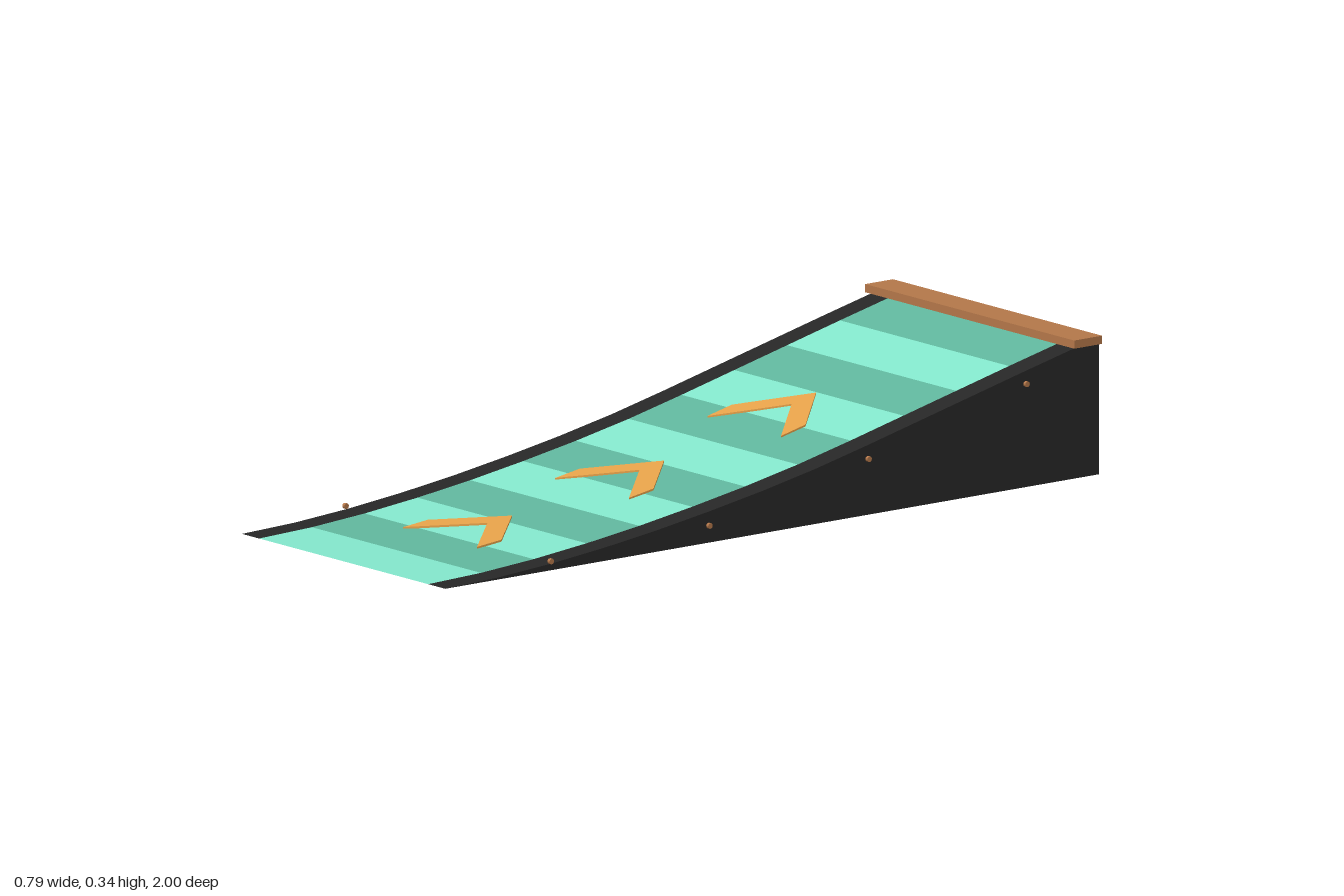
import * as THREE from 'three';

const mat = (name, color, side = THREE.FrontSide) => {
  const m = new THREE.MeshStandardMaterial({ color, side });
  m.name = name;
  return m;
};

// Ramp heights at equal steps from the front lip to the coping
const HEIGHTS = [0, 0.005, 0.016, 0.032, 0.052, 0.076, 0.103, 0.134, 0.17, 0.208, 0.246, 0.284, 0.321];
const STEP = 0.1615;
const TOP = 0.321;
const DECK_X = 0.321;
const SIDE_X = 0.386;

const zAt = (i) => 1 - i * STEP;
const heightAt = (z) => {
  const t = THREE.MathUtils.clamp((1 - z) / STEP, 0, 12);
  const i = Math.min(Math.floor(t), 11);
  return THREE.MathUtils.lerp(HEIGHTS[i], HEIGHTS[i + 1], t - i);
};

export function createModel() {
  const black = mat('charcoal', 0x272727);
  const mint = mat('light mint', 0x84e8cd, THREE.DoubleSide);
  const teal = mat('dark mint', 0x60b69d, THREE.DoubleSide);
  const wood = mat('brown wood', 0xb5784a);
  const amber = mat('amber', 0xe8a34a);
  const grey = mat('light grey', 0xe4e4e4);

  const group = new THREE.Group();
  group.name = 'ramp';
  const add = (name, geometry, material, x = 0, y = 0, z = 0) => {
    const mesh = new THREE.Mesh(geometry, material);
    mesh.name = name;
    mesh.position.set(x, y, z);
    group.add(mesh);
  };

  // Curved side walls, profile drawn with u = -z
  const profile = new THREE.Shape();
  profile.moveTo(-1, 0);
  profile.lineTo(1, 0);
  profile.lineTo(1, TOP);
  for (let i = 12; i > 0; i--) profile.lineTo(-zAt(i), HEIGHTS[i]);
  const wall = new THREE.ExtrudeGeometry(profile, { depth: SIDE_X - DECK_X, bevelEnabled: false });
  wall.rotateY(Math.PI / 2);
  add('leftWall', wall, black, DECK_X);
  add('rightWall', wall, black, -SIDE_X);

  // Back wall and coping board
  const backDepth = 1 + zAt(12);
  add('backWall', new THREE.BoxGeometry(DECK_X * 2, TOP, backDepth), black, 0, TOP / 2, -1 + backDepth / 2);
  add('coping', new THREE.BoxGeometry(0.794, 0.02, 0.085), wood, 0, 0.33, -0.9575);

  // Striped riding surface, one tilted plate per stripe, over a banded underside
  const panel = new THREE.PlaneGeometry(DECK_X * 2, STEP).rotateX(Math.PI / 2);
  for (let i = 0; i < 12; i++) {
    const g = new THREE.PlaneGeometry(DECK_X * 2, STEP).rotateX(-Math.PI / 2);
    const p = g.attributes.position;
    for (let v = 0; v < p.count; v++) {
      const k = p.getZ(v) > 0 ? i : i + 1;
      p.setY(v, HEIGHTS[k]);
      p.setZ(v, zAt(k));
    }
    g.computeVertexNormals();
    add('deckStripe', g, i % 2 ? teal : mint);
    add('undersidePanel', panel, i % 2 ? teal : grey, 0, 0, zAt(i + 0.5));
  }

  // Chevrons set into the slope
  const outline = [[0, 0], [0.14, 0.145], [0.14, 0.22], [0, 0.075], [-0.14, 0.22], [-0.14, 0.145]];
  for (const apex of [0.485, 0.02, -0.445]) {
    const shape = new THREE.Shape(outline.map(([x, z]) => new THREE.Vector2(x, -(apex + z))));
    const g = new THREE.ExtrudeGeometry(shape, { depth: 0.007, bevelEnabled: false });
    g.rotateX(-Math.PI / 2);
    const p = g.attributes.position;
    const y0 = heightAt(apex) - 0.003;
    const slope = (heightAt(apex + 0.22) - 0.003 - y0) / 0.22;
    for (let v = 0; v < p.count; v++) {
      p.setY(v, p.getY(v) + y0 + slope * (p.getZ(v) - apex));
    }
    g.computeVertexNormals();
    add('chevron', g, amber);
  }

  // Bolts along both sides
  const bolt = new THREE.CylinderGeometry(0.007, 0.007, 0.008, 10).rotateZ(Math.PI / 2);
  for (const [y, z] of [[0.023, 0.68], [0.042, 0.195], [0.137, -0.292], [0.252, -0.775]]) {
    for (const s of [1, -1]) add('bolt', bolt, wood, s * 0.3895, y, z);
  }

  return group;
}
